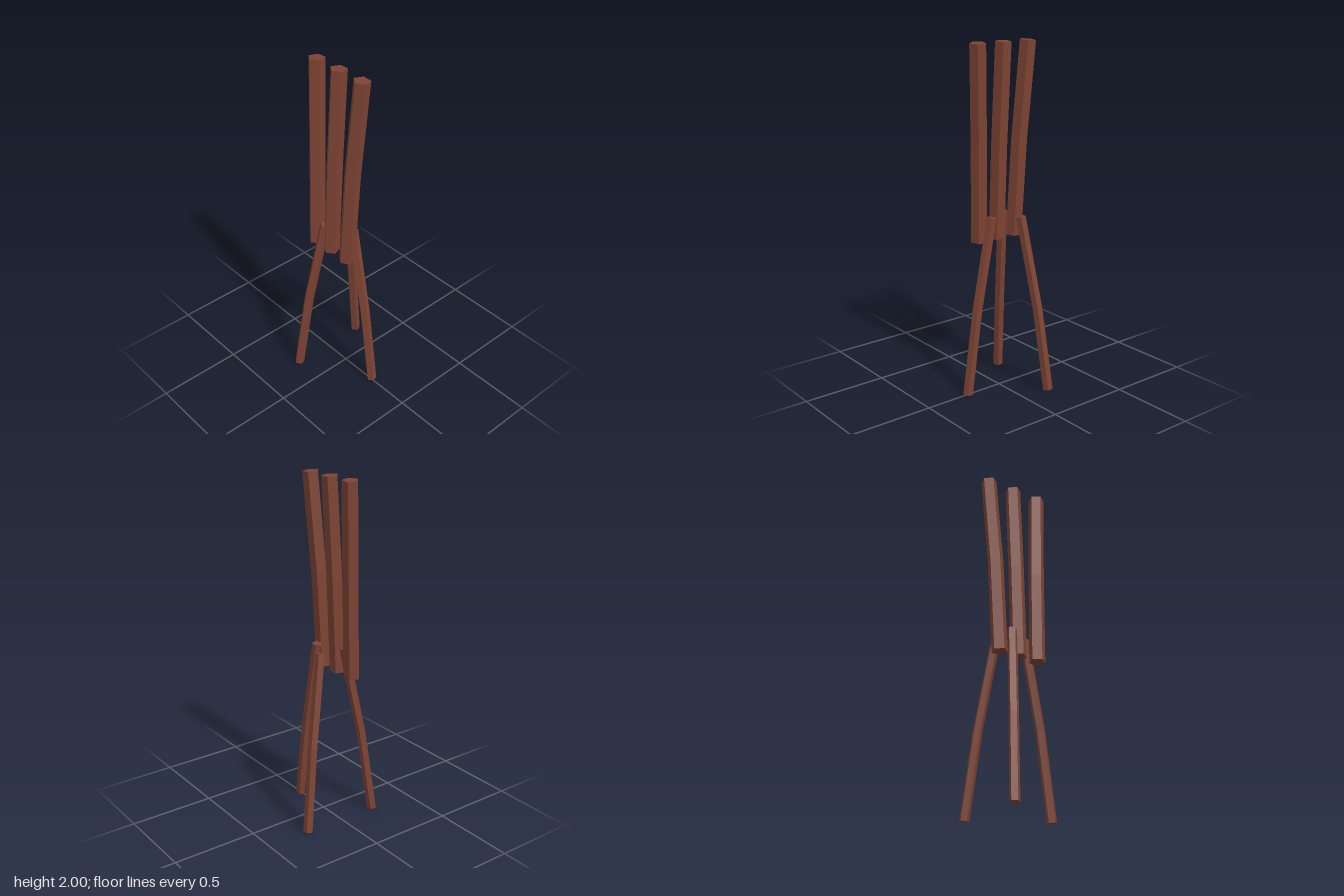
import * as THREE from 'three';

const V = (x, y, z) => new THREE.Vector3(x, y, z);
const SIDES = 5;

// Five-sided rod swept through three points (bottom, bend, top), one edge facing +z
function rodGeometry(points, radius) {
  const up = V(0, 1, 0);
  const rings = points.map((p, i) => {
    const a = points[Math.max(i - 1, 0)], b = points[Math.min(i + 1, points.length - 1)];
    const tilt = new THREE.Quaternion().setFromUnitVectors(up, b.clone().sub(a).normalize());
    return Array.from({ length: SIDES }, (_, k) => {
      const t = (k / SIDES) * Math.PI * 2;
      return V(Math.sin(t) * radius, 0, Math.cos(t) * radius).applyQuaternion(tilt).add(p);
    });
  });
  const pos = [];
  const tri = (...vs) => vs.forEach((v) => pos.push(v.x, v.y, v.z));
  const last = rings.length - 1;
  for (let k = 0; k < SIDES; k++) {
    const n = (k + 1) % SIDES;
    for (let i = 0; i < last; i++) {
      const lo = rings[i], hi = rings[i + 1];
      tri(lo[k], lo[n], hi[n]);
      tri(lo[k], hi[n], hi[k]);
    }
    tri(points[0], rings[0][n], rings[0][k]);
    tri(points[last], rings[last][k], rings[last][n]);
  }
  const g = new THREE.BufferGeometry();
  g.setAttribute('position', new THREE.Float32BufferAttribute(pos, 3));
  g.computeVertexNormals();
  return g;
}

export function createModel() {
  const model = new THREE.Group();
  model.name = 'stool';
  const wood = new THREE.MeshStandardMaterial({ color: 0x7d4333, flatShading: true });
  wood.name = 'brown wood';
  const cx = -0.04, cz = -0.004;

  const add = (name, points, radius) => {
    const mesh = new THREE.Mesh(rodGeometry(points, radius), wood);
    mesh.name = name;
    model.add(mesh);
  };

  // Three splayed legs around the centre
  ['leftLeg', 'frontLeg', 'backLeg'].forEach((name, i) => {
    const a = (i * Math.PI * 2) / 3;
    const at = (r, y) => V(cx + Math.cos(a) * r, y, cz + Math.sin(a) * r);
    add(name, [at(0.27, 0.006), at(0.2, 0.5), at(0.095, 1.033)], 0.029);
  });

  // Three upright slats fanning outward and leaning back
  [['rightSlat', -1], ['middleSlat', 0], ['leftSlat', 1]].forEach(([name, s]) => {
    add(name, [
      V(cx + s * 0.127, 0.88, 0.073),
      V(cx + s * 0.143, 1.44, 0.048),
      V(cx + s * 0.173, 1.998, 0.013),
    ], 0.047);
  });
  return model;
}
